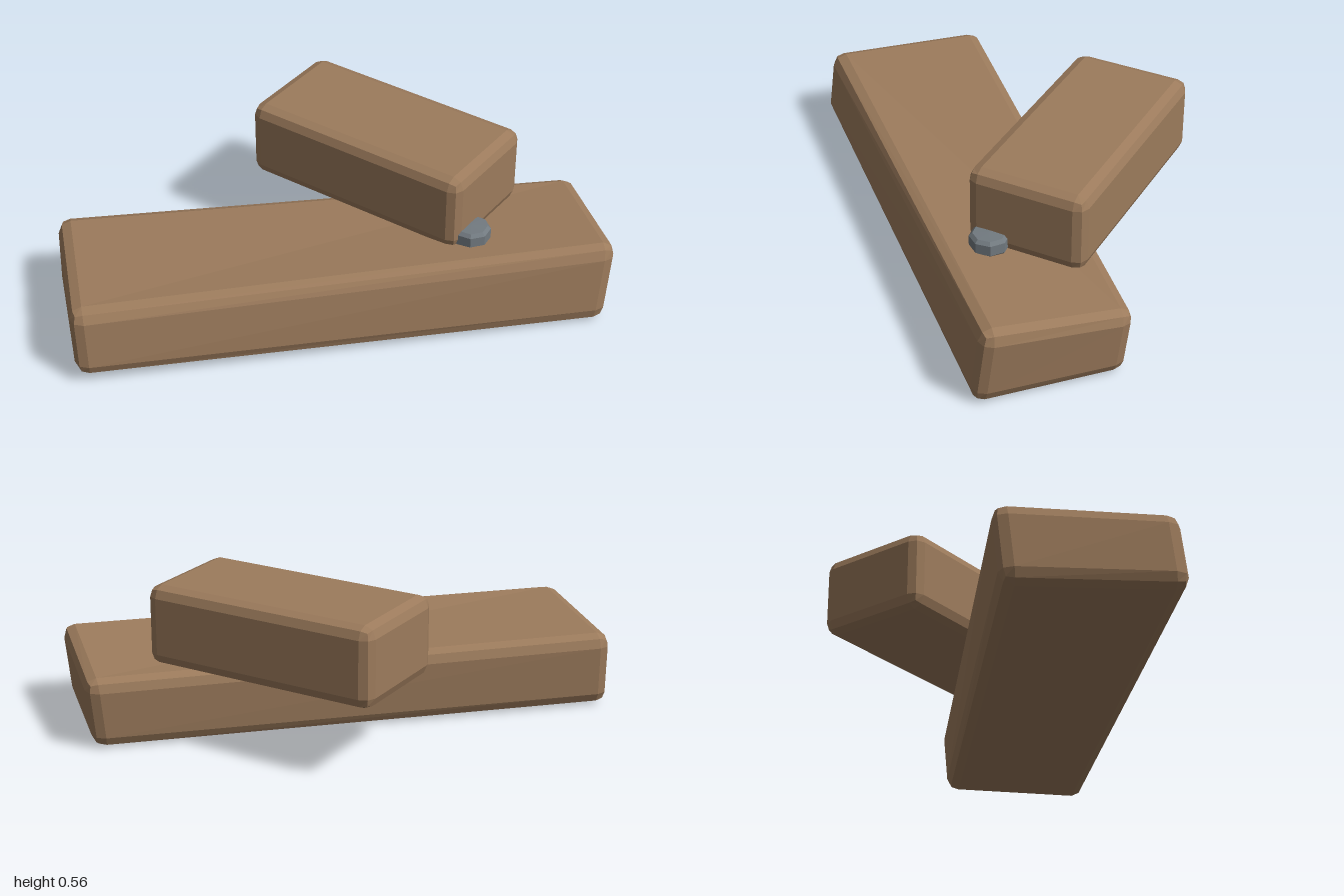
import * as THREE from 'three';
import { RoundedBoxGeometry } from 'three/addons/geometries/RoundedBoxGeometry.js';

// Bevelled box whose eight corners are moved to the given points.
// Corner order: back-left, back-right, front-left, front-right; bottom four, then top four.
function skewedBox(w, h, d, bevel, corners) {
  const geo = new RoundedBoxGeometry(w, h, d, 1, bevel);
  const pos = geo.attributes.position;
  const pts = corners.map((c) => new THREE.Vector3(...c));
  const v = new THREE.Vector3();
  for (let i = 0; i < pos.count; i++) {
    const u = pos.getX(i) / w + 0.5, t = pos.getY(i) / h + 0.5, s = pos.getZ(i) / d + 0.5;
    v.set(0, 0, 0);
    pts.forEach((p, k) => v.addScaledVector(p,
      (k & 1 ? u : 1 - u) * (k & 2 ? s : 1 - s) * (k & 4 ? t : 1 - t)));
    pos.setXYZ(i, v.x, v.y, v.z);
  }
  geo.computeVertexNormals();
  return geo;
}

export function createModel() {
  const group = new THREE.Group();
  const wood = new THREE.MeshStandardMaterial({ name: 'wood', color: 0x9c7b5c, flatShading: true });
  const metal = new THREE.MeshStandardMaterial({ name: 'metal', color: 0x727a80, flatShading: true });

  const add = (name, geo, mat) => {
    const mesh = new THREE.Mesh(geo, mat);
    mesh.name = name;
    group.add(mesh);
    return mesh;
  };

  // Long, slightly crooked plank lying on the ground
  add('longPlank', skewedBox(1.9, 0.27, 0.57, 0.045, [
    [-1.01, 0.0, 0.09], [0.83, 0.0, -0.365], [-0.83, 0.037, 0.675], [0.985, 0.0, 0.15],
    [-1.01, 0.28, 0.06], [0.85, 0.257, -0.39], [-0.845, 0.29, 0.645], [1.01, 0.31, 0.115],
  ]), wood);

  // Short block resting across the plank
  const block = add('shortBlock', new RoundedBoxGeometry(0.895, 0.29, 0.44, 1, 0.042), wood);
  block.position.set(0.155, 0.416, -0.26);
  block.rotation.y = -Math.PI / 6;

  // Bolt head where the two pieces meet
  const profile = [[0, 0], [0.06, 0], [0.07, 0.012], [0.07, 0.05], [0.058, 0.062], [0, 0.064]]
    .map(([r, y]) => new THREE.Vector2(r, y));
  const bolt = add('boltHead', new THREE.LatheGeometry(profile, 8), metal);
  bolt.position.set(0.487, 0.281, 0.075);

  return group;
}
